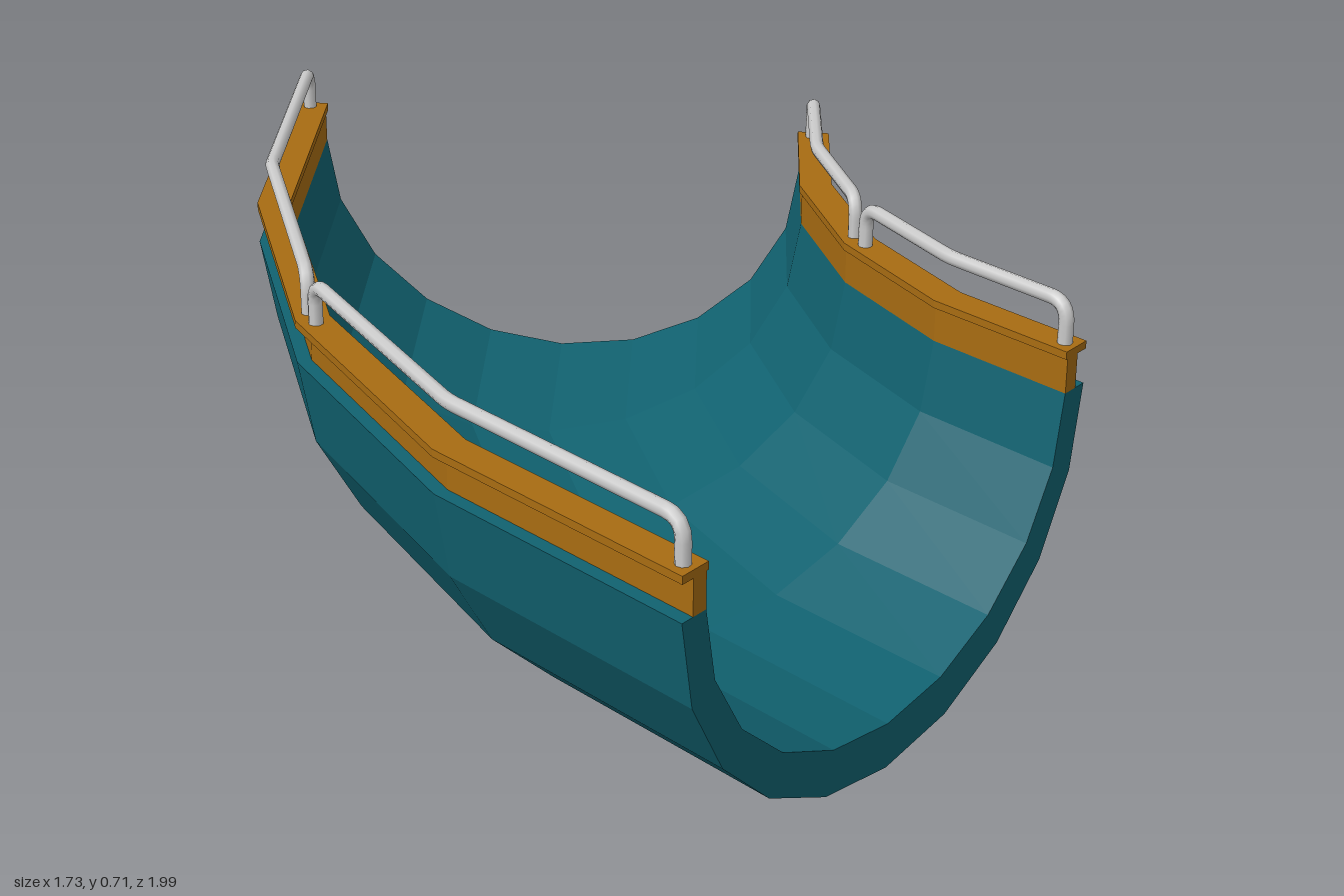
import * as THREE from 'three';

// Bend: 60 degrees in four straight steps about a vertical axis at (CX, CZ)
const CX = 1.43, CZ = -1, RADIUS = 1.7225, STEP = Math.PI / 12, STEPS = 4;
const DECK = 0.51;

// Point at bend angle a, offset o outward from the centre line, height y
function bendPoint(a, o, y) {
  const r = RADIUS + o;
  return new THREE.Vector3(CX - r * Math.cos(a), y, CZ + r * Math.sin(a));
}

// Sweeps a closed counter-clockwise section of [offset, y] around the bend, with end caps
function sweep(name, section, material) {
  const pos = [], n = section.length;
  const put = (k, i) => pos.push(...bendPoint(k * STEP, ...section[i % n]).toArray());
  for (let k = 0; k < STEPS; k++) {
    for (let i = 0; i < n; i++) {
      put(k, i); put(k + 1, i); put(k, i + 1);
      put(k, i + 1); put(k + 1, i); put(k + 1, i + 1);
    }
  }
  const outline = section.map(([o, y]) => new THREE.Vector2(o, y));
  for (const [a, b, c] of THREE.ShapeUtils.triangulateShape(outline, [])) {
    put(0, a); put(0, b); put(0, c);
    put(STEPS, a); put(STEPS, c); put(STEPS, b);
  }
  const geo = new THREE.BufferGeometry();
  geo.setAttribute('position', new THREE.Float32BufferAttribute(pos, 3));
  geo.computeVertexNormals();
  const mesh = new THREE.Mesh(geo, material);
  mesh.name = name;
  return mesh;
}

// Lower half of a ten-step oval, from the inner side to the outer side
function trough(rx, ry) {
  return Array.from({ length: 11 }, (_, i) => {
    const t = Math.PI * (1 + i / 10);
    return [rx * Math.cos(t), DECK + ry * Math.sin(t)];
  });
}

const box = (o0, o1, y0, y1) => [[o0, y0], [o1, y0], [o1, y1], [o0, y1]];

// Handrail: bent tube over two steps of the bend, with rounded corners
function handrail(name, startStep, offset, material) {
  const inset = 0.025 / (RADIUS + offset);
  const a0 = startStep * STEP + inset, am = (startStep + 1) * STEP, a1 = (startStep + 2) * STEP - inset;
  const top = 0.672, foot = 0.585;
  const pts = [
    bendPoint(a0, offset, foot), bendPoint(a0, offset, top), bendPoint(am, offset, top),
    bendPoint(a1, offset, top), bendPoint(a1, offset, foot),
  ];
  const path = new THREE.CurvePath();
  let last = pts[0];
  for (let i = 1; i < 4; i++) {
    const cut = i === 2 ? 0.02 : 0.04;
    const before = pts[i].clone().add(pts[i - 1].clone().sub(pts[i]).setLength(cut));
    const after = pts[i].clone().add(pts[i + 1].clone().sub(pts[i]).setLength(cut));
    path.add(new THREE.LineCurve3(last, before));
    path.add(new THREE.QuadraticBezierCurve3(before, pts[i], after));
    last = after;
  }
  path.add(new THREE.LineCurve3(last, pts[4]));
  const mesh = new THREE.Mesh(new THREE.TubeGeometry(path, 80, 0.014, 8), material);
  mesh.name = name;
  return mesh;
}

export function createModel() {
  const group = new THREE.Group();
  group.name = 'curvedTrough';
  const teal = new THREE.MeshStandardMaterial({ color: 0x116270, flatShading: true });
  const ochre = new THREE.MeshStandardMaterial({ color: 0xa86c12, flatShading: true });
  const grey = new THREE.MeshStandardMaterial({ color: 0xcccccc });

  // Thick half-pipe shell: outer wall, then back along the inner wall
  const shell = [...trough(0.5775, 0.536), ...trough(0.517, 0.447).reverse()];
  group.add(sweep('troughShell', shell, teal));

  // Side boards, cap strips and handrails on both edges
  for (const [side, s] of [['outer', 1], ['inner', -1]]) {
    const place = (o0, o1, y0, y1) => (s > 0 ? box(o0, o1, y0, y1) : box(-o1, -o0, y0, y1));
    group.add(sweep(side + 'Board', place(0.517, 0.55, DECK, 0.58), ochre));
    group.add(sweep(side + 'CapStrip', place(0.512, 0.5775, 0.578, 0.593), ochre));
    group.add(handrail(side + 'BackHandrail', 0, s * 0.545, grey));
    group.add(handrail(side + 'FrontHandrail', 2, s * 0.545, grey));
  }
  return group;
}
